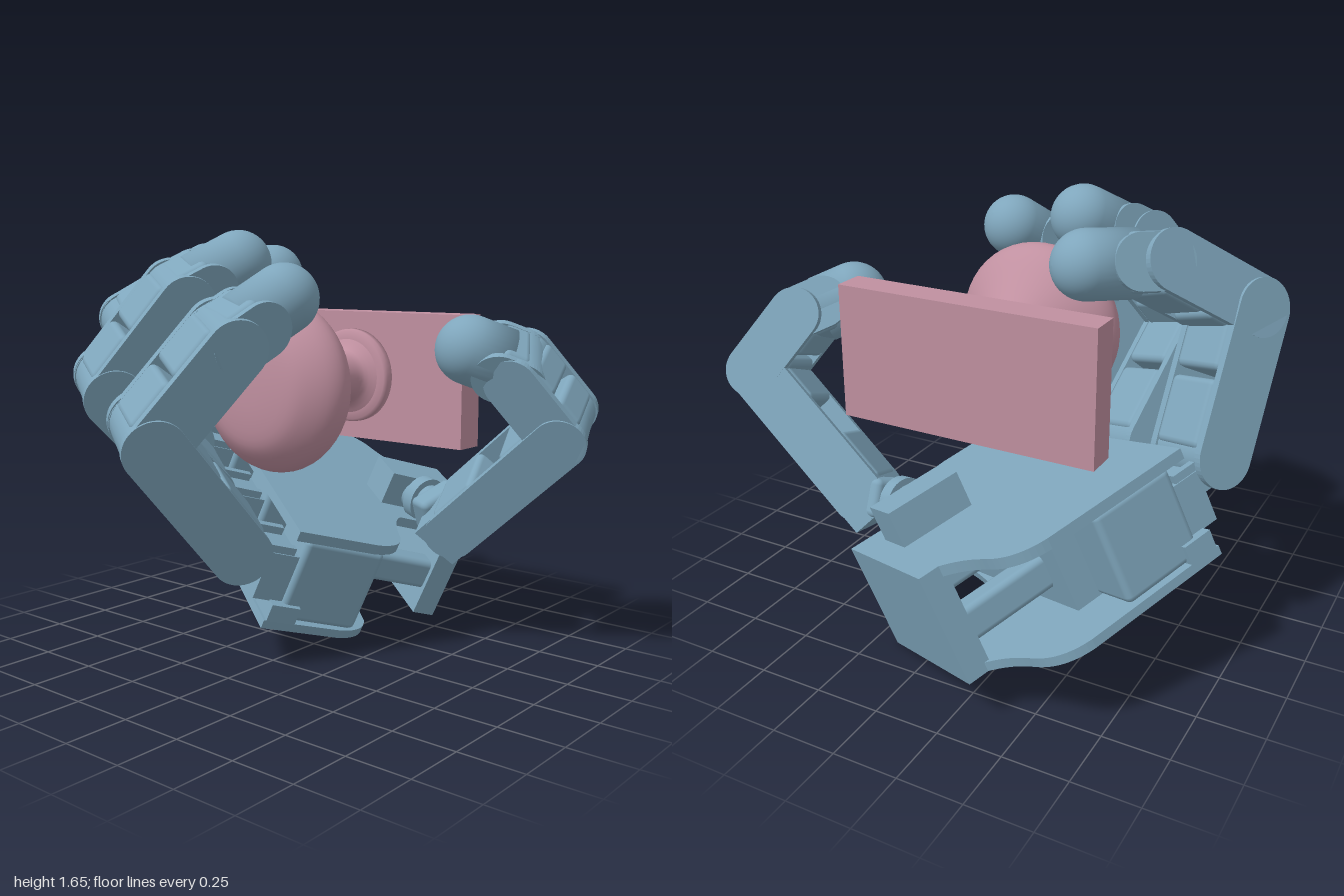
import * as THREE from 'three';
import { RoundedBoxGeometry } from 'three/addons/geometries/RoundedBoxGeometry.js';

const V = (x, y, z) => new THREE.Vector3(x, y, z);
const steel = new THREE.MeshStandardMaterial({ color: 0x7fa6bc });
const rose = new THREE.MeshStandardMaterial({ color: 0xc090a0 });

function add(parent, name, geometry, material = steel, x = 0, y = 0, z = 0) {
  const m = new THREE.Mesh(geometry, material);
  m.name = name;
  m.position.set(x, y, z);
  parent.add(m);
  return m;
}
const box = (w, h, d) => new THREE.BoxGeometry(w, h, d);
const pad = (w, h, d) => new RoundedBoxGeometry(w, h, d, 2, 0.025);

// Group with origin at p, y along p->q and x close to the hinge axis
function frame(parent, name, p, q, hinge) {
  const y = q.clone().sub(p).normalize();
  const x = hinge.clone().addScaledVector(y, -hinge.dot(y)).normalize();
  const g = new THREE.Group();
  g.name = name;
  g.applyMatrix4(new THREE.Matrix4().makeBasis(x, y, x.clone().cross(y)).setPosition(p));
  parent.add(g);
  return g;
}

// Round-ended side plate from y = 0 to y = len, standing in the yz plane
function linkPlate(len, r, thick) {
  const s = new THREE.Shape();
  s.absarc(0, len, r, 0, Math.PI, false);
  s.absarc(0, 0, r, Math.PI, Math.PI * 2, false);
  const g = new THREE.ExtrudeGeometry(s, { depth: thick, bevelEnabled: false, curveSegments: 12 });
  return g.translate(0, 0, -thick / 2).rotateY(Math.PI / 2);
}

function hingeBarrel(parent, r, w, y) {
  add(parent, 'hingeBarrel', new THREE.CylinderGeometry(r, r, w, 24).rotateZ(Math.PI / 2), steel, 0, y, 0);
}

// One finger bone: two cheeks, two drive housings and hinge barrels
function bone(parent, name, p, q, hinge, w, th, gap) {
  const g = frame(parent, name, p, q, hinge);
  const len = p.distanceTo(q);
  for (const side of [-1, 1])
    add(g, 'cheekPlate', linkPlate(len, th / 2, 0.03), steel, side * (w / 2 - 0.015), 0, 0);
  const h = (len - gap) / 2;
  for (const y of [h / 2, len - h / 2])
    add(g, 'driveHousing', pad(w - 0.05, h, th + 0.012), steel, 0, y, 0);
  for (const y of [0, len]) hingeBarrel(g, th / 2 - 0.005, w - 0.07, y);
  return g;
}

// Last joint with a domed rubber tip
function fingertip(parent, p, q, hinge, w, r) {
  const g = frame(parent, 'fingertip', p, q, hinge);
  const len = p.distanceTo(q);
  hingeBarrel(g, 0.1, w - 0.06, 0);
  add(g, 'tipSocket', pad(w - 0.05, len * 0.55, 0.21), steel, 0, len * 0.25, 0);
  for (const side of [-1, 1])
    add(g, 'tipCheek', linkPlate(len * 0.4, 0.1, 0.025), steel, side * (w / 2 - 0.02), 0, 0);
  const profile = [new THREE.Vector2(0, len * 0.3), new THREE.Vector2(r, len * 0.3)];
  for (let i = 0; i <= 12; i++) {
    const a = i / 12 * Math.PI / 2;
    profile.push(new THREE.Vector2(r * Math.cos(a), len + r * Math.sin(a)));
  }
  add(g, 'tipDome', new THREE.LatheGeometry(profile, 32));
}

function finger(parent, name, joints) {
  const g = new THREE.Group();
  g.name = name;
  parent.add(g);
  const hinge = V(1, 0, 0);
  bone(g, 'proximalBone', joints[0], joints[1], hinge, 0.29, 0.23, 0.03);
  bone(g, 'middleBone', joints[1], joints[2], hinge, 0.28, 0.22, 0.02);
  fingertip(g, joints[2], joints[3], hinge, 0.27, 0.125);
}

// Palm plate outline: x across the hand, y from wrist to fingers;
// waist is how far the thumb side is cut back behind the knuckles
function palmPlate(thick, waist) {
  const s = new THREE.Shape();
  s.moveTo(-waist, 0);
  s.lineTo(-waist, 0.36);
  s.quadraticCurveTo(0.05 - waist / 2, 0.42, 0.2, 0.45);
  s.quadraticCurveTo(0.29, 0.48, 0.31, 0.6);
  s.lineTo(0.32, 0.94);
  s.lineTo(-0.89, 0.94);
  s.lineTo(-0.89, 0.35);
  s.quadraticCurveTo(-0.88, 0.22, -0.76, 0.18);
  s.quadraticCurveTo(-0.66, 0.15, -0.594, 0.08);
  s.lineTo(-0.594, 0);
  const g = new THREE.ExtrudeGeometry(s, { depth: thick, bevelEnabled: false, curveSegments: 10 });
  return g.rotateX(Math.PI / 2).translate(0, thick, 0);
}

function buildHand(root) {
  // Hand frame: x across, y out of the palm, z towards the fingers
  const a = V(0.825, -0.286, 0.488).normalize();
  const n = V(0.4, 0.91, -0.09);
  n.addScaledVector(a, -n.dot(a)).normalize();
  const hand = new THREE.Group();
  hand.name = 'hand';
  hand.applyMatrix4(new THREE.Matrix4().makeBasis(a, n, a.clone().cross(n)).setPosition(0.16, 0.01, -0.62));
  root.add(hand);

  // Palm shell
  add(hand, 'palmBottomPlate', palmPlate(0.035, 0.28));
  add(hand, 'palmTopPlate', palmPlate(0.04, 0), steel, 0, 0.385, 0);
  add(hand, 'wristBlock', box(0.594, 0.425, 0.1), steel, -0.297, 0.2125, 0.05);
  for (const x of [-0.07, -0.53])
    add(hand, 'sideBar', pad(0.1, 0.13, 0.5), steel, x, 0.17, 0.3);
  add(hand, 'palmCore', box(0.8, 0.36, 0.12), steel, -0.285, 0.21, 0.5);
  add(hand, 'thumbMountBlock', box(0.17, 0.15, 0.3), steel, -0.2, 0.49, 0.25);

  // Finger drives and stepped knuckle brackets
  for (const x of [0.18, -0.28, -0.75]) {
    add(hand, 'fingerDrive', pad(0.24, 0.35, 0.34), steel, x, 0.21, 0.71);
    add(hand, 'knuckleStep', box(0.2, 0.2, 0.14), steel, x, 0.2, 0.93);
    add(hand, 'knuckleFoot', box(0.28, 0.07, 0.12), steel, x, 0.07, 0.87);
    for (const side of [-1, 1])
      add(hand, 'knuckleLug', box(0.03, 0.12, 0.24), steel, x + side * 0.08, 0.27, 1.02);
  }

  // Three curled fingers, the outer one straighter at its root and bent harder above
  finger(hand, 'indexFinger', [V(0.2, 0.29, 1.13), V(0.2, 0.62, 1.58), V(0.18, 1.02, 1.42), V(0.13, 1.2, 1.25)]);
  finger(hand, 'middleFinger', [V(-0.28, 0.29, 1.14), V(-0.29, 0.59, 1.62), V(-0.31, 1.0, 1.47), V(-0.33, 1.18, 1.28)]);
  finger(hand, 'outerFinger', [V(-0.74, 0.3, 1.11), V(-0.77, 0.7, 1.47), V(-0.75, 1.0, 1.21), V(-0.7, 1.1, 0.98)]);
}

function buildThumb(root) {
  const thumb = new THREE.Group();
  thumb.name = 'thumb';
  root.add(thumb);
  const hinge = V(0.29, -0.39, 0.87).normalize();
  const base = V(0.39, 0.52, -0.44), elbow = V(0.86, 0.94, -0.43);
  const upper = V(0.73, 1.15, -0.31), tip = V(0.59, 1.22, -0.19);
  const lower = bone(thumb, 'thumbLowerBone', base, elbow, hinge, 0.31, 0.2, 0.16);
  add(lower, 'thumbHeel', box(0.28, 0.16, 0.2), steel, 0, -0.02, 0);
  bone(thumb, 'thumbUpperBone', elbow, upper, hinge, 0.3, 0.2, 0.02);
  fingertip(thumb, upper, tip, hinge, 0.27, 0.13);

  // Swivel from the palm block to the thumb heel
  const mount = frame(thumb, 'thumbSwivel', V(0.04, 0.58, -0.54), base, hinge);
  add(mount, 'swivelShaft', new THREE.CylinderGeometry(0.07, 0.07, 0.3, 24), steel, 0, 0.15, 0);
  add(mount, 'swivelCollar', new THREE.CylinderGeometry(0.095, 0.095, 0.05, 24), steel, 0, 0.16, 0);
  add(mount, 'swivelYoke', pad(0.2, 0.1, 0.15), steel, 0, 0.25, 0);
}

function buildKnob(root) {
  add(root, 'doorPanel', box(1.04, 0.52, 0.125), rose, -0.03, 1.08, -0.36);
  // Backplate ring, neck and flared grip turned about the z axis
  const rosette = [[0, -0.3], [0.19, -0.3], [0.19, -0.27], [0.18, -0.255], [0.14, -0.25], [0, -0.25]];
  const toVec = ([r, z]) => new THREE.Vector2(r, z);
  const turn = pts => new THREE.LatheGeometry(pts, 48).rotateX(Math.PI / 2);
  add(root, 'knobRosette', turn(rosette.map(toVec)), rose, -0.03, 1.08, 0);
  const grip = [[0.15, -0.25], [0.11, -0.22], [0.1, -0.17], [0.105, -0.1], [0.15, -0.04], [0.22, 0.03],
    [0.29, 0.1], [0.325, 0.15], [0.336, 0.2], [0.315, 0.255], [0.26, 0.31], [0.2, 0.342], [0.1, 0.357], [0, 0.36]];
  const pts = new THREE.SplineCurve(grip.map(toVec)).getPoints(40);
  pts[pts.length - 1].x = 0;
  add(root, 'knobGrip', turn(pts), rose, -0.03, 1.08, 0);
}

export function createModel() {
  const root = new THREE.Group();
  root.name = 'handOnDoorKnob';
  buildHand(root);
  buildThumb(root);
  buildKnob(root);
  return root;
}
